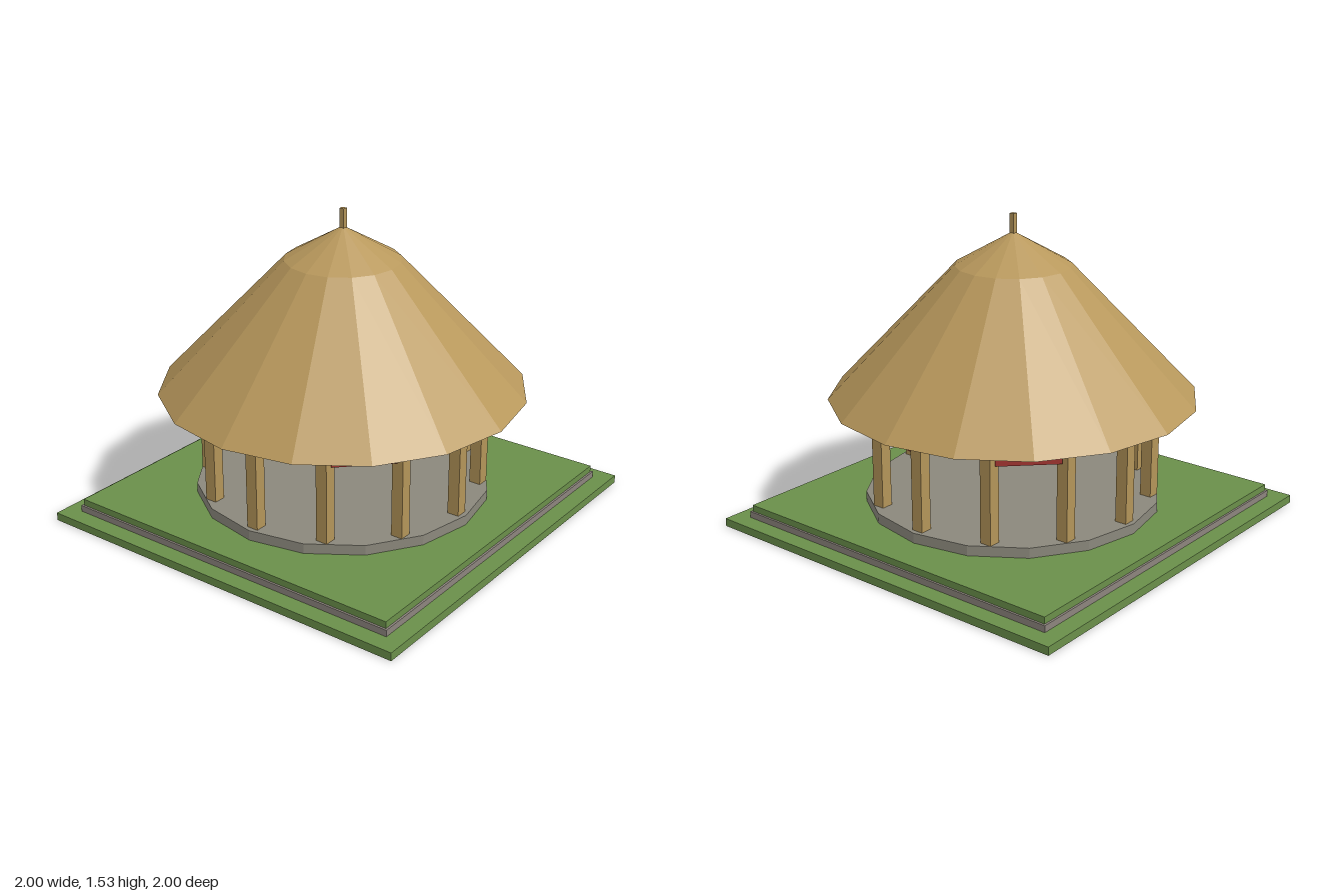
import * as THREE from 'three';

export function createModel() {
  const model = new THREE.Group();
  model.name = 'thatchedPavilion';

  const material = (name, color, flatShading = false) => {
    const m = new THREE.MeshStandardMaterial({ color, flatShading });
    m.name = name;
    return m;
  };
  const grass = material('grass green', 0x6a8f4a);
  const stone = material('stone grey', 0x8b887c);
  const curb = material('curb grey', 0x8c847d);
  const thatch = material('thatch straw', 0xb8985c, true);
  const timber = material('timber', 0xb39459);
  const red = material('red paint', 0xa03430);

  const add = (name, geometry, mat, x = 0, y = 0, z = 0) => {
    const mesh = new THREE.Mesh(geometry, mat);
    mesh.name = name;
    mesh.position.set(x, y, z);
    model.add(mesh);
    return mesh;
  };
  // Box standing from y0 to y1
  const block = (name, mat, w, d, y0, y1, x = 0, z = 0) =>
    add(name, new THREE.BoxGeometry(w, y1 - y0, d), mat, x, (y0 + y1) / 2, z);

  // Stepped lawn with a curb between the two layers
  block('lawnBase', grass, 2, 2, 0, 0.04);
  block('curb', curb, 1.83, 1.83, 0.04, 0.072);
  block('lawnTop', grass, 1.81, 1.81, 0.072, 0.105);

  // Sixteen-sided floor slab
  const floor = add('floor', new THREE.CylinderGeometry(0.725, 0.725, 0.05, 16).toNonIndexed(), stone, 0, 0.13, 0);
  floor.geometry.computeVertexNormals();

  // Ring of twelve square posts, all square to the lawn
  const ring = 0.67;
  for (let i = 0; i < 12; i++) {
    const a = (i * Math.PI) / 6;
    block('post', timber, 0.06, 0.06, 0.155, 0.645, ring * Math.cos(a), -ring * Math.sin(a));
  }

  // Red panels under the eaves, in every second bay
  const mid = ring * Math.cos(Math.PI / 12);
  for (let i = 0; i < 6; i++) {
    const a = Math.PI / 12 + (i * Math.PI) / 3;
    const panel = block('eavesPanel', red, 0.062, 0.3, 0.537, 0.643, mid * Math.cos(a), -mid * Math.sin(a));
    panel.rotation.y = a;
  }

  // Faceted thatched roof with a flatter cap and closed underside
  const profile = [[0, 0.64], [0.895, 0.64], [0.28, 1.285], [0, 1.445]];
  add('roof', new THREE.LatheGeometry(profile.map(([r, y]) => new THREE.Vector2(r, y)), 16), thatch);

  // Finial
  block('finial', timber, 0.025, 0.025, 1.4, 1.53);

  return model;
}
